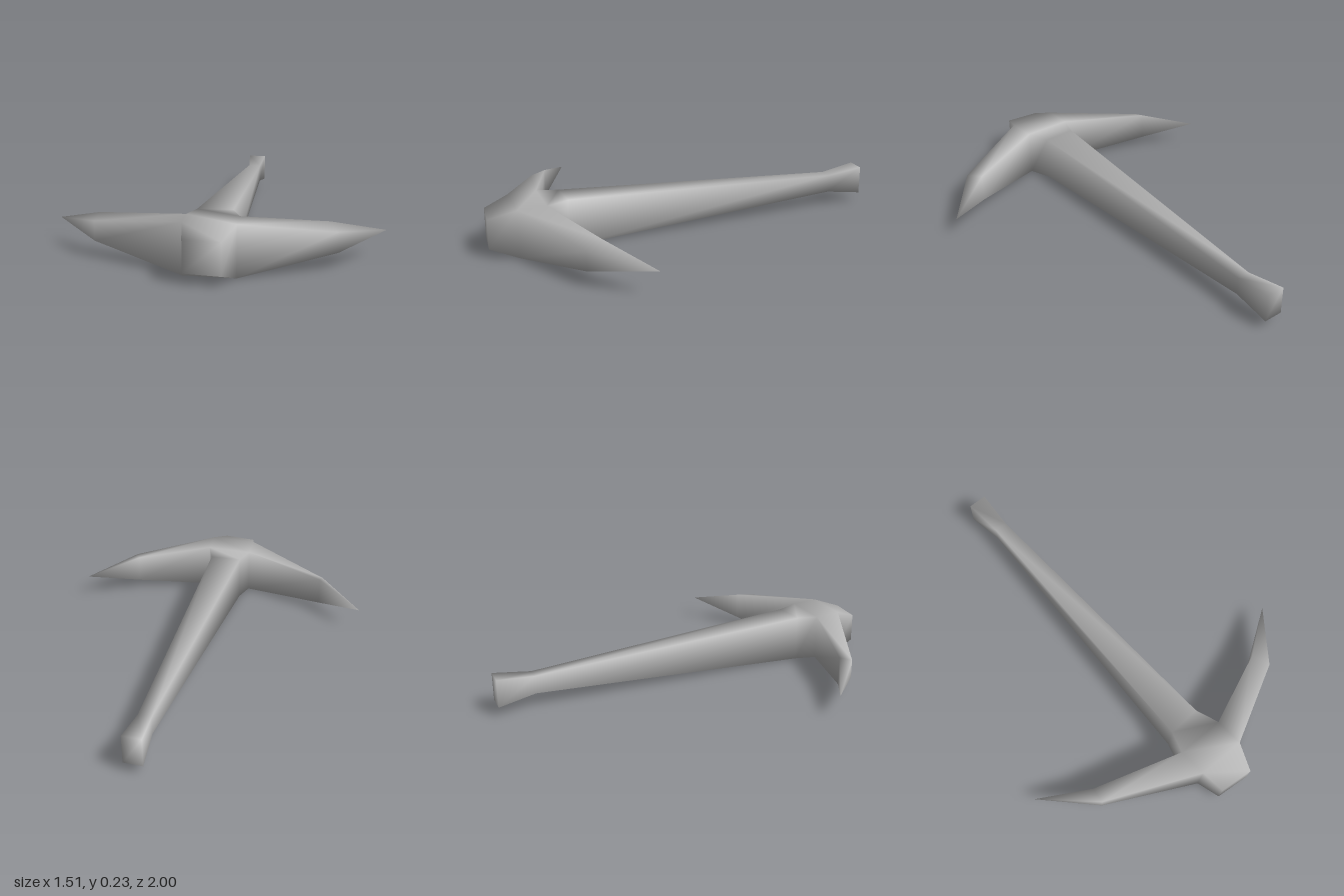
import * as THREE from 'three';

const grey = new THREE.MeshStandardMaterial({ color: 0xb8b8b8 });
grey.name = 'grey';

// Head and handle rings, front to butt: [xRight, zRight, xLeft, zLeft, yBottom, yTop]
const bodyRings = [
  [-0.175, 0.95, -0.015, 1.0, 0.046, 0.19],
  [-0.175, 0.83, 0.055, 0.88, 0, 0.234],
  [-0.155, 0.69, 0.075, 0.74, 0, 0.234],
  [-0.105, 0.595, 0.055, 0.62, 0, 0.234],
  [0.225, -0.81, 0.288, -0.795, 0.074, 0.165],
  [0.242, -1.0, 0.333, -0.98, 0.048, 0.19],
];

export function createModel() {
  const points = [], faces = [];
  const vertex = (x, y, z) => points.push(x, y, z) / 3 - 1;
  const quad = (a, b, c, d) => faces.push(a, b, c, a, c, d);

  // Body: corners run bottom right, bottom left, top left, top right
  const rings = bodyRings.map(([xr, zr, xl, zl, y0, y1]) =>
    [vertex(xr, y0, zr), vertex(xl, y0, zl), vertex(xl, y1, zl), vertex(xr, y1, zr)]);
  const skin = (p, q, skip = []) => {
    for (let j = 0; j < 4; j++) {
      const k = (j + 1) % 4;
      if (!skip.includes(j)) quad(p[j], q[j], q[k], p[k]);
    }
  };
  // The sides between rings 1 and 2 stay open, for the blades to grow from
  for (let i = 0; i < rings.length - 1; i++) skin(rings[i], rings[i + 1], i === 1 ? [1, 3] : []);
  quad(...rings[0]);
  quad(...[...rings[5]].reverse());

  // Blade: grows from a body side to a bend, then to a point; its front face is slimmer
  const blade = (root, bend, tip) => {
    const middle = bend.map((p) => vertex(...p));
    const end = vertex(...tip);
    skin(root, middle);
    for (let j = 0; j < 4; j++) faces.push(middle[j], end, middle[(j + 1) % 4]);
  };
  const [, f, b] = rings;
  // Left blade
  blade([b[1], f[1], f[2], b[2]],
    [[0.478, 0.048, 0.67], [0.5, 0.073, 0.765], [0.5, 0.166, 0.765], [0.478, 0.19, 0.67]],
    [0.754, 0.119, 0.557]);
  // Right blade
  blade([f[0], b[0], b[3], f[3]],
    [[-0.57, 0.073, 0.53], [-0.55, 0.048, 0.46], [-0.55, 0.19, 0.46], [-0.57, 0.166, 0.53]],
    [-0.755, 0.119, 0.26]);

  const geometry = new THREE.BufferGeometry();
  geometry.setAttribute('position', new THREE.Float32BufferAttribute(points, 3));
  geometry.setIndex(faces);
  geometry.computeVertexNormals();
  const mesh = new THREE.Mesh(geometry, grey);
  mesh.name = 'handleHeadAndBlades';

  const model = new THREE.Group();
  model.name = 'pick';
  model.add(mesh);
  return model;
}
